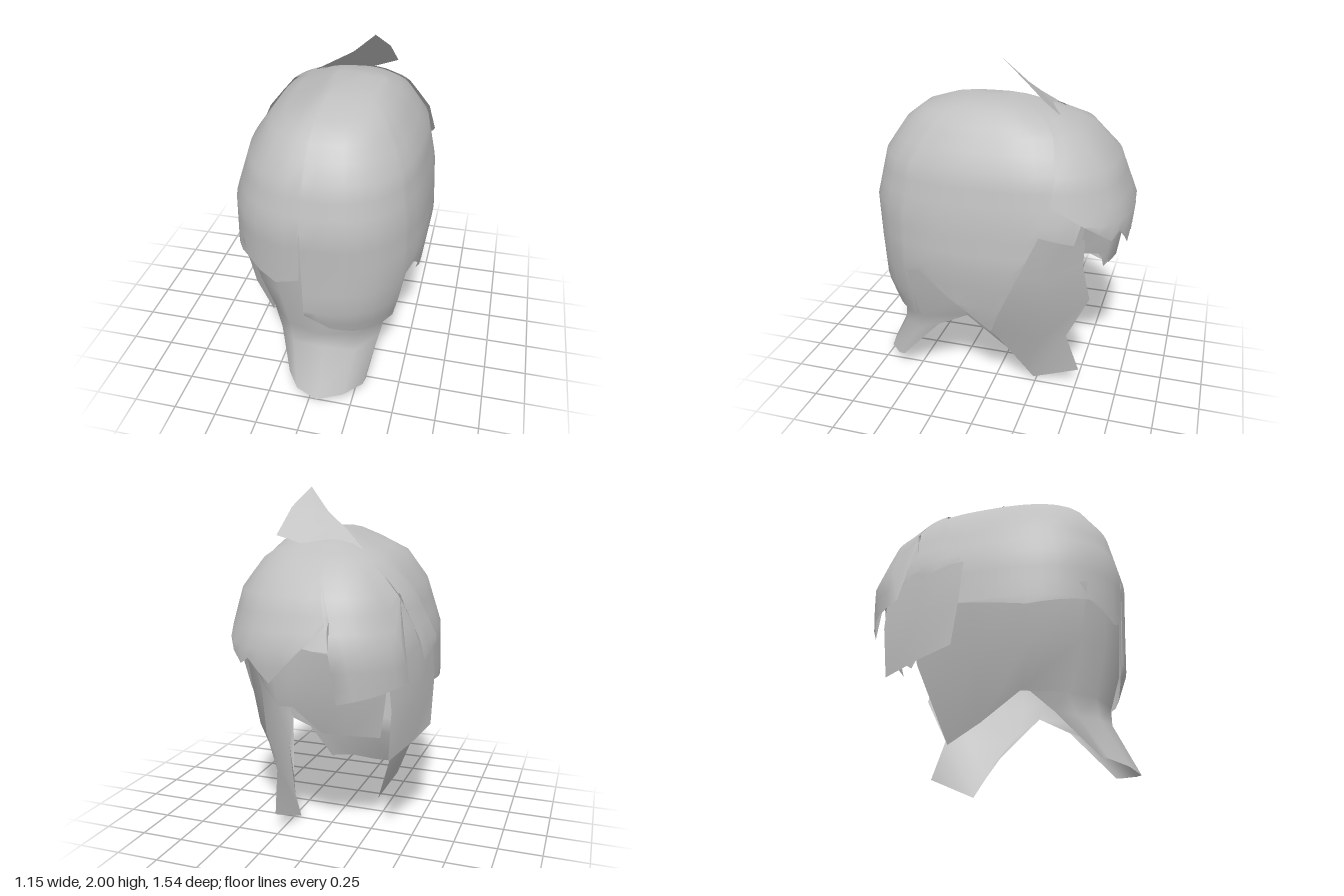
import * as THREE from 'three';

// Dome outline: y, half widths to +x and -x, depth to front and back
const DOME = [
  [1.77, 0.14, 0.03, 0.2, 0.05], [1.755, 0.24, 0.07, 0.3, 0.14], [1.7, 0.32, 0.18, 0.47, 0.33],
  [1.62, 0.39, 0.35, 0.575, 0.49], [1.45, 0.49, 0.47, 0.69, 0.64], [1.18, 0.54, 0.555, 0.755, 0.73],
  [0.9, 0.555, 0.565, 0.74, 0.71], [0.65, 0.52, 0.55, 0.73, 0.6], [0.45, 0.47, 0.44, 0.66, 0.45],
];
const CX = 0.02;

// Point on the rounded-square dome in a direction (0 = front, 90 = +x)
function domePoint(deg, y, grow) {
  let i = 0;
  while (i < DOME.length - 2 && DOME[i + 1][0] > y) i++;
  const a = DOME[i], b = DOME[i + 1];
  const k = THREE.MathUtils.clamp((a[0] - y) / (a[0] - b[0]), 0, 1);
  const [, xr, xl, zf, zb] = a.map((v, j) => v + (b[j] - v) * k);
  const t = deg * Math.PI / 180, s = Math.sin(t), c = Math.cos(t), n = 2.65;
  const sum = Math.pow(Math.abs(s) / (s > 0 ? xr : xl), n) + Math.pow(Math.abs(c) / (c > 0 ? zf : zb), n);
  const r = Math.pow(sum, -1 / n) + grow;
  return [CX + r * s, y, r * c];
}

// Sheet through rows of points, rows running downwards
function sheet(rows) {
  const n = rows[0].length, index = [];
  for (let r = 0; r < rows.length - 1; r++) {
    for (let c = 0; c < n - 1; c++) {
      const a = r * n + c, b = a + 1, d = a + n;
      index.push(a, d, b, b, d, d + 1);
    }
  }
  const g = new THREE.BufferGeometry();
  g.setAttribute('position', new THREE.Float32BufferAttribute(rows.flat(2), 3));
  g.setIndex(index);
  g.computeVertexNormals();
  return g;
}

// Level rows on the dome, each column stopping at a jagged edge of [degrees, y]
function domeRows(edge, topY, topAngle, grow) {
  const cols = [];
  edge.forEach((p, i) => {
    cols.push(p);
    const q = edge[i + 1];
    if (!q) return;
    const steps = Math.ceil((q[0] - p[0]) / 8);
    for (let s = 1; s < steps; s++) cols.push([p[0] + (q[0] - p[0]) * s / steps, p[1] + (q[1] - p[1]) * s / steps]);
  });
  const levels = [1.77, 1.755, 1.73, 1.7, 1.66, 1.62, 1.54, 1.45, 1.36, 1.27, 1.18, 1.08, 0.99, 0.9, 0.78, 0.65, 0.55, 0.45];
  return levels.filter((y) => y <= topY).map((level) => cols.map(([deg, bottom]) => {
    const y = Math.max(level, bottom);
    const top = topAngle(deg), k = Math.sqrt((topY - y) / (topY - bottom));
    return domePoint(top + (deg - top) * k, y, grow(y));
  }));
}

export function createModel() {
  const group = new THREE.Group();
  const grey = new THREE.MeshStandardMaterial({ color: 0xc0c0c0, side: THREE.DoubleSide });
  grey.name = 'light grey';
  const add = (name, rows) => {
    const mesh = new THREE.Mesh(sheet(rows), grey);
    mesh.name = name;
    group.add(mesh);
  };

  // Main hair with the parted fringe and pointed side locks, closed at the crown
  const cap = domeRows([
    [-180, 1.2], [-135, 1.1], [-98, 0.9], [-60, 0.85], [-32, 0.9], [-16, 0.82], [-5, 0.87], [-4, 1.17],
    [-3.6, 0.61], [8, 0.51], [20, 0.48], [43, 0.48], [46, 0.81], [54, 0.84], [68, 0.7], [95, 0.48],
    [122, 1.13], [138, 1.08], [141, 1.19], [180, 1.2],
  ], 1.77, (deg) => deg, () => 0);
  cap.unshift(cap[0].map(() => [0.08, 1.772, 0.06]));
  add('hairCap', cap);

  // Back layer ending in ragged points, its front edges swept back to the crown
  add('backHair', domeRows([
    [127, 1.31], [154, 1.08], [159, 1.12], [169, 1.0], [194, 1.34], [197, 0.91], [230, 0.99],
    [231.5, 1.45], [244, 1.08], [265, 1.15],
  ], 1.7, (deg) => 144 + (deg - 127) * 0.536, (y) => 0.014 + 0.026 * Math.min(1, (1.7 - y) / 0.6)));

  // Lock standing up at the crown
  add('crownTuft', [
    [[0.2, 2, -0.03], [0.2, 2, -0.03], [0.2, 2, -0.03]],
    [[0.26, 1.89, -0.18], [0.15, 1.88, -0.15], [0.06, 1.86, -0.12]],
    [[0.275, 1.8, -0.28], [0.1, 1.79, -0.23], [-0.07, 1.77, -0.18]],
    [[0.28, 1.74, -0.36], [0.12, 1.69, -0.34], [-0.2, 1.67, -0.28]],
  ]);

  // Long tapering lock sweeping forward under the fringe, open behind
  add('frontLock', [
    [[-0.5, 1, 0.25], [-0.42, 1, 0.53], [-0.2, 1, 0.68], [0.05, 1, 0.72], [0.28, 1, 0.67], [0.45, 1, 0.5], [0.52, 1, 0.2]],
    [[-0.42, 0.65, 0.3], [-0.34, 0.68, 0.52], [-0.18, 0.7, 0.66], [0.05, 0.7, 0.7], [0.28, 0.68, 0.66], [0.43, 0.66, 0.47], [0.48, 0.65, 0.16]],
    [[-0.32, 0.43, 0.27], [-0.28, 0.42, 0.46], [-0.15, 0.42, 0.59], [0.05, 0.42, 0.635], [0.25, 0.42, 0.59], [0.38, 0.44, 0.43], [0.41, 0.51, 0.13]],
    [[-0.26, 0.33, 0.38], [-0.23, 0.3, 0.5], [-0.13, 0.3, 0.6], [0.06, 0.32, 0.635], [0.24, 0.3, 0.6], [0.36, 0.33, 0.46], [0.37, 0.39, 0.33]],
    [[-0.16, 0.09, 0.6], [-0.15, 0.08, 0.64], [-0.08, 0.05, 0.73], [0.05, 0.03, 0.775], [0.2, 0.06, 0.73], [0.3, 0.08, 0.64], [0.31, 0.085, 0.6]],
  ]);

  // Long locks hanging at the sides
  add('leftLock', [
    [[0.53, 1.1, 0.2], [0.545, 1.1, 0], [0.51, 1.15, -0.34], [0.36, 1.16, -0.55]],
    [[0.5, 0.85, 0.18], [0.52, 0.85, 0], [0.47, 0.85, -0.33], [0.31, 0.88, -0.53]],
    [[0.48, 0.65, 0.16], [0.47, 0.62, 0], [0.41, 0.63, -0.36], [0.27, 0.65, -0.57]],
    [[0.41, 0.51, 0.13], [0.38, 0.4, -0.02], [0.33, 0.37, -0.3], [0.27, 0.38, -0.44]],
    [[0.3, 0.22, -0.13], [0.27, 0.12, -0.18], [0.21, 0.005, -0.23], [0.25, 0.14, -0.52]],
  ]);
  add('rightLock', [
    [[-0.46, 0.98, -0.38], [-0.54, 0.98, 0], [-0.52, 0.98, 0.3], [-0.39, 1, 0.62]],
    [[-0.42, 0.62, -0.35], [-0.47, 0.62, 0], [-0.45, 0.65, 0.3], [-0.35, 0.68, 0.56]],
    [[-0.28, 0.19, -0.21], [-0.34, 0.28, 0], [-0.35, 0.43, 0.22], [-0.28, 0.42, 0.49]],
  ]);
  add('rightBackLock', [
    [[-0.42, 1.15, -0.55], [-0.53, 1.15, -0.3], [-0.55, 1.15, -0.04]],
    [[-0.45, 0.85, -0.55], [-0.54, 0.88, -0.3], [-0.565, 0.9, -0.06]],
    [[-0.43, 0.56, -0.53], [-0.51, 0.61, -0.3], [-0.56, 0.65, -0.1]],
  ]);

  // Short hair at the nape
  add('napeHair', [
    [[0.38, 1.22, -0.56], [0.27, 1.22, -0.66], [0.17, 1.22, -0.7], [0.06, 1.22, -0.71], [-0.09, 1.22, -0.71], [-0.22, 1.22, -0.69], [-0.42, 1.2, -0.54]],
    [[0.36, 1.08, -0.53], [0.25, 1.07, -0.66], [0.17, 1.04, -0.69], [0.06, 1.04, -0.71], [-0.09, 0.97, -0.68], [-0.22, 0.95, -0.65], [-0.41, 0.92, -0.52]],
    [[0.34, 0.97, -0.5], [0.23, 0.94, -0.65], [0.16, 0.85, -0.65], [0.06, 0.86, -0.68], [-0.07, 0.7, -0.59], [-0.2, 0.69, -0.56], [-0.37, 0.67, -0.48]],
  ]);
  return group;
}
